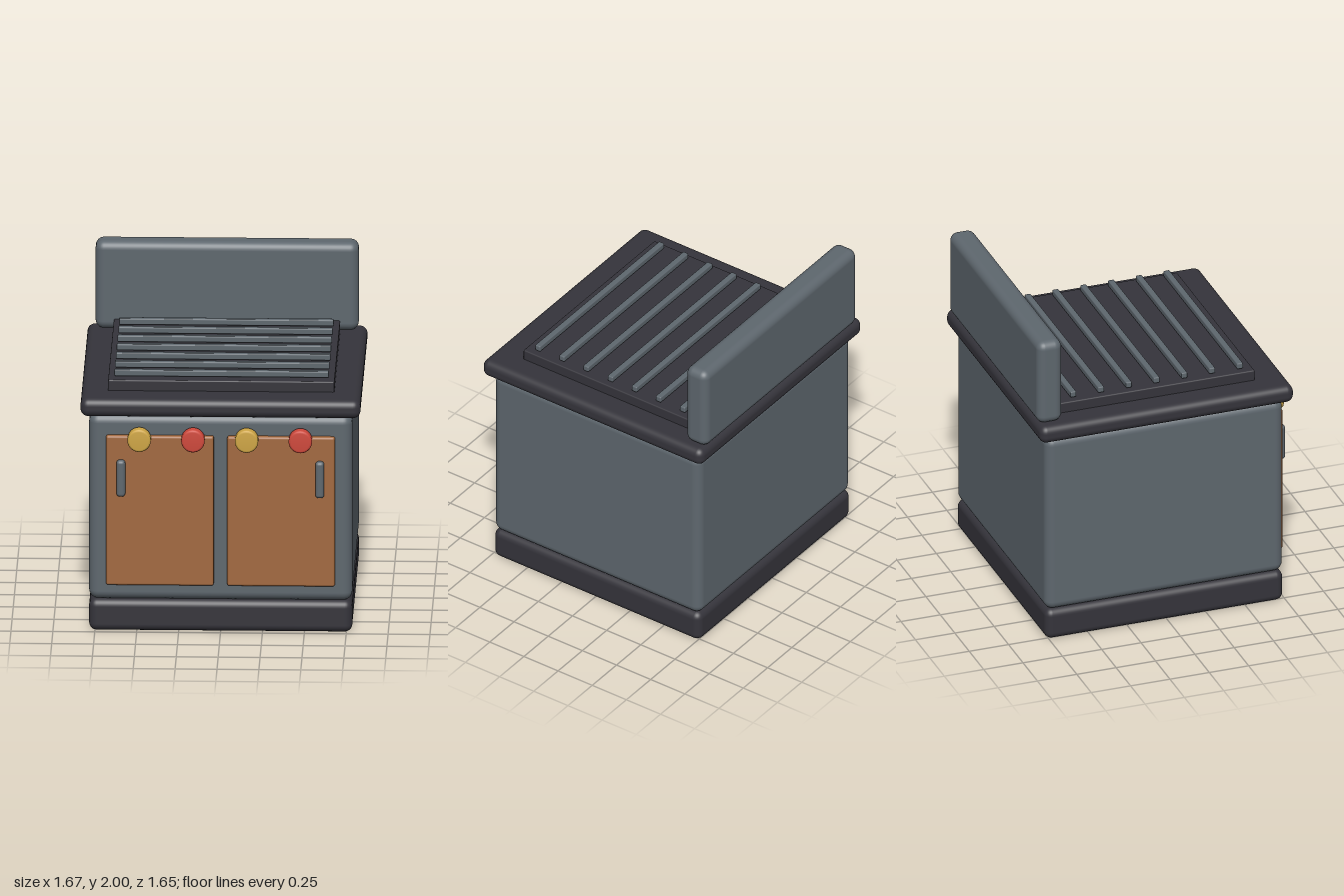
import * as THREE from 'three';
import { RoundedBoxGeometry } from 'three/addons/geometries/RoundedBoxGeometry.js';

function material(name, color) {
  const m = new THREE.MeshStandardMaterial({ color });
  m.name = name;
  return m;
}

export function createModel() {
  const group = new THREE.Group();
  const steel = material('steel', 0x5e676e);
  const iron = material('darkIron', 0x35343b);
  const wood = material('wood', 0xa2693f);
  const gold = material('gold', 0xcfa645);
  const red = material('red', 0xcf483b);

  // Rounded box given by its limits on each axis
  function block(name, mat, [x0, x1], [y0, y1], [z0, z1], radius, segments = 4) {
    const geo = new RoundedBoxGeometry(x1 - x0, y1 - y0, z1 - z0, segments, radius);
    const mesh = new THREE.Mesh(geo, mat);
    mesh.name = name;
    mesh.position.set((x0 + x1) / 2, (y0 + y1) / 2, (z0 + z1) / 2);
    group.add(mesh);
  }

  // Cabinet, worktop and splash guard
  block('plinth', iron, [-0.785, 0.785], [0, 0.197], [-0.772, 0.738], 0.045);
  block('cabinet', steel, [-0.785, 0.785], [0.195, 1.35], [-0.772, 0.738], 0.055);
  block('worktop', iron, [-0.835, 0.835], [1.345, 1.457], [-0.822, 0.788], 0.045);
  block('backGuard', steel, [-0.785, 0.785], [1.455, 2], [-0.822, -0.665], 0.05);

  // Grill plate and bars
  block('grillPlate', iron, [-0.675, 0.675], [1.44, 1.522], [-0.69, 0.592], 0.008, 2);
  for (let i = 0; i < 7; i++) {
    const z = 0.512 - i * 0.1765;
    block('grillBar', steel, [-0.64, 0.64], [1.528, 1.566], [z - 0.019, z + 0.019], 0.007, 2);
  }

  // Doors with upright handles near the outer edges
  for (const s of [-1, 1]) {
    const span = (a, b) => (s > 0 ? [a, b] : [-b, -a]);
    block('door', wood, span(0.04, 0.683), [0.297, 1.227], [0.72, 0.77], 0.014, 3);
    block('doorHandle', steel, span(0.567, 0.62), [0.857, 1.083], [0.76, 0.81], 0.02, 3);
  }

  // Control knobs with bevelled rims
  const r = 0.07, h = 0.078, b = 0.014;
  const profile = [[0, 0], [r - b, 0], [r - b * 0.3, b * 0.3], [r, b], [r, h - b],
    [r - b * 0.3, h - b * 0.3], [r - b, h], [0, h]].map(([x, y]) => new THREE.Vector2(x, y));
  const knobGeo = new THREE.LatheGeometry(profile, 28);
  knobGeo.rotateX(Math.PI / 2);
  [-0.484, -0.163, 0.157, 0.478].forEach((x, i) => {
    const knob = new THREE.Mesh(knobGeo, i % 2 ? red : gold);
    knob.name = 'controlKnob';
    knob.position.set(x, 1.212, 0.749);
    group.add(knob);
  });

  return group;
}
